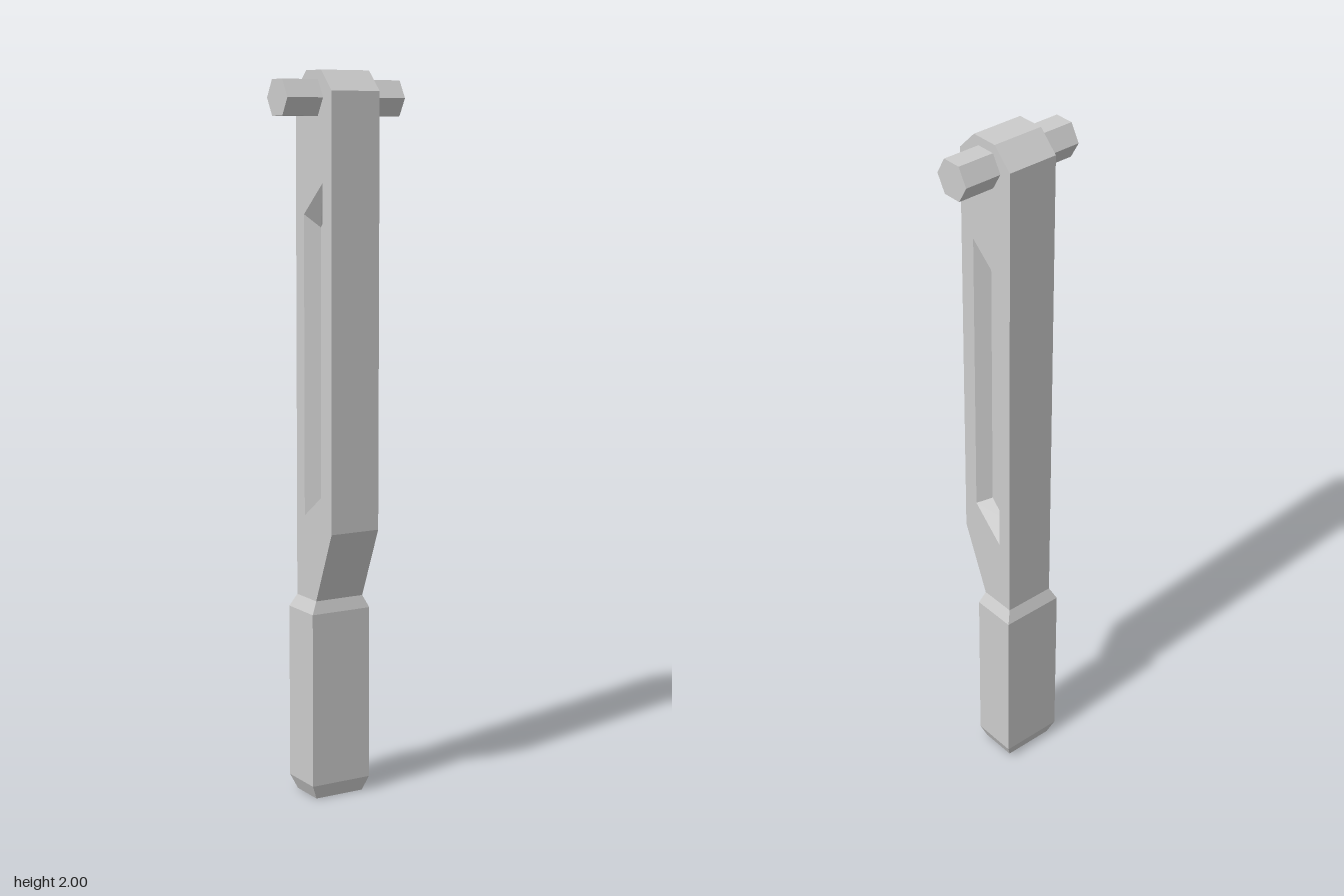
import * as THREE from 'three';

const material = new THREE.MeshStandardMaterial({ color: 0xcccccc, flatShading: true });

// Collects four-cornered faces (corners counter-clockwise from outside) into one flat-shaded mesh
function meshFromQuads(name, quads) {
  const positions = [];
  for (const [a, b, c, d] of quads) positions.push(...a, ...b, ...c, ...a, ...c, ...d);
  const geometry = new THREE.BufferGeometry();
  geometry.setAttribute('position', new THREE.Float32BufferAttribute(positions, 3));
  geometry.computeVertexNormals();
  const mesh = new THREE.Mesh(geometry, material);
  mesh.name = name;
  return mesh;
}

// Rectangular section: height, left edge, right edge, half depth
const ring = ([y, x0, x1, d]) => [[x0, y, d], [x1, y, d], [x1, y, -d], [x0, y, -d]];

// Walls between two sections; sides 0..3 are front, right, back, left
function walls(lower, upper, sides = [0, 1, 2, 3]) {
  const a = ring(lower), b = ring(upper);
  return sides.map((i) => {
    const j = (i + 1) % 4;
    return [a[i], a[j], b[j], b[i]];
  });
}

const mirrorDepth = (quad) => quad.map(([x, y, z]) => [x, y, -z]).reverse();

export function createModel() {
  const model = new THREE.Group();
  model.name = 'lever';
  const lever = new THREE.Group();
  lever.name = 'leverBody';
  lever.rotation.y = -Math.PI / 6;
  model.add(lever);

  // Grip with bevelled ends
  const grip = [
    [0, -0.09, 0.015, 0.074],
    [0.04, -0.105, 0.025, 0.091],
    [0.53, -0.105, 0.025, 0.091],
    [0.565, -0.09, 0.015, 0.074],
  ];
  const gripQuads = [ring(grip[0]).reverse()];
  for (let i = 0; i < 3; i++) gripQuads.push(...walls(grip[i], grip[i + 1]));
  lever.add(meshFromQuads('grip', gripQuads));

  // Shaft: sloped neck, straight bar, bevelled top
  const neck = grip[3];
  const low = [0.765, -0.09, 0.098, 0.074];
  const high = [1.945, -0.09, 0.098, 0.074];
  const top = [2, -0.034, 0.044, 0.074];
  const shaftQuads = [
    ...walls(neck, low),
    ...walls(low, high, [1, 3]),
    ...walls(high, top),
    ring(top),
  ];

  // Slanted recessed panel on the front, mirrored to the back
  const outer = [ring(low)[0], ring(low)[1], ring(high)[1], ring(high)[0]];
  const rim = [[-0.047, 0.775, 0.074], [0.052, 0.865, 0.074], [0.052, 1.705, 0.074], [-0.047, 1.62, 0.074]];
  const floor = [[-0.021, 0.835, 0.037], [0.026, 0.88, 0.037], [0.026, 1.63, 0.037], [-0.021, 1.585, 0.037]];
  const panel = [floor];
  for (let i = 0; i < 4; i++) {
    const j = (i + 1) % 4;
    panel.push([outer[i], outer[j], rim[j], rim[i]], [rim[i], rim[j], floor[j], floor[i]]);
  }
  shaftQuads.push(...panel, ...panel.map(mirrorDepth));
  lever.add(meshFromQuads('shaft', shaftQuads));

  // Hexagonal pivot pin, flat side up
  const pinGeometry = new THREE.CylinderGeometry(0.055, 0.055, 0.362, 6);
  pinGeometry.rotateY(Math.PI / 6).rotateX(Math.PI / 2);
  const pin = new THREE.Mesh(pinGeometry, material);
  pin.name = 'pivotPin';
  pin.position.y = 1.928;
  lever.add(pin);

  return model;
}
